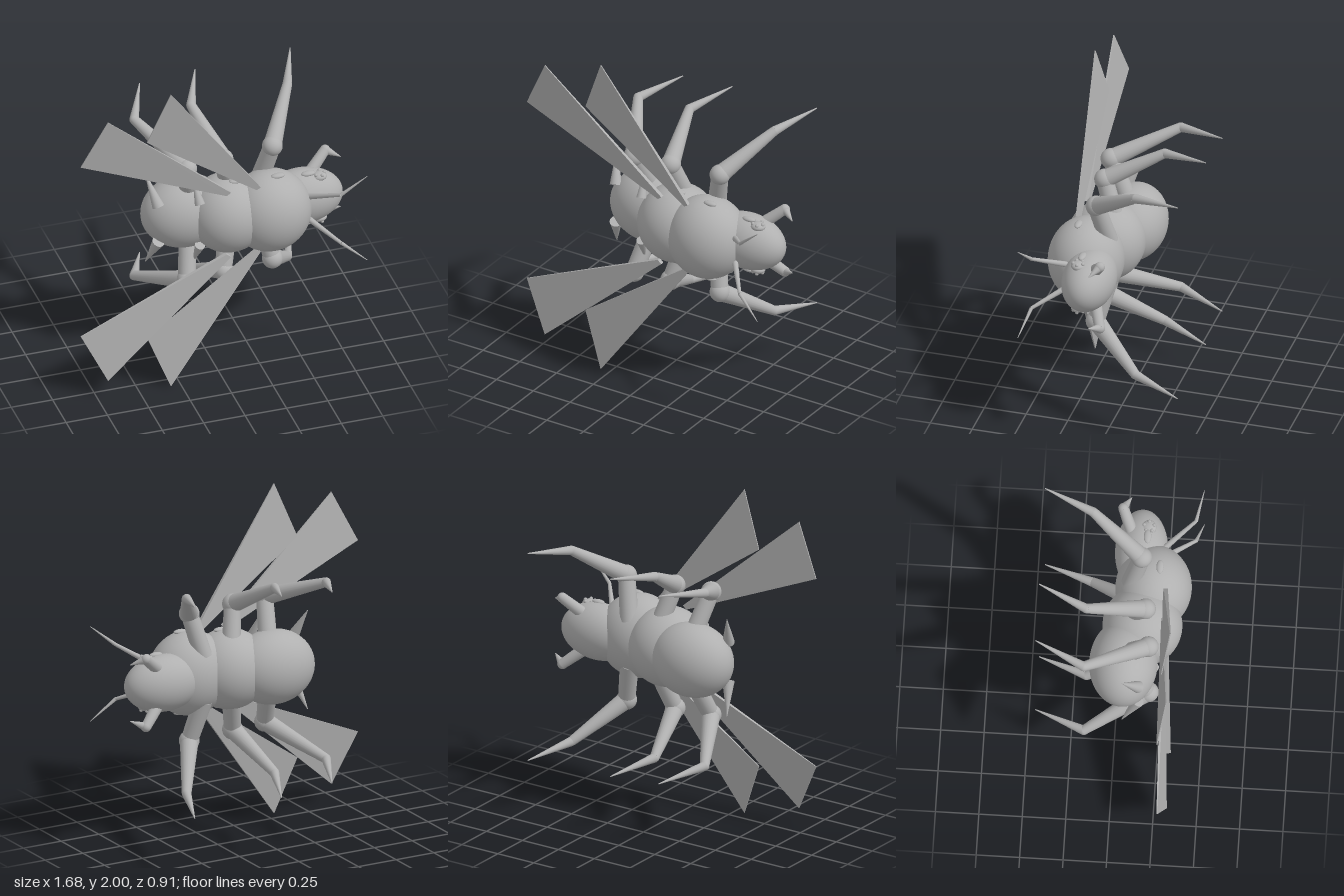
import * as THREE from 'three';
import { ConvexGeometry } from 'three/addons/geometries/ConvexGeometry.js';

const shell = new THREE.MeshStandardMaterial({ color: 0xb0b0b0 });
shell.name = 'greyShell';

export function createModel() {
  const model = new THREE.Group();
  model.name = 'insect';

  const add = (parent, name, geometry) => {
    const mesh = new THREE.Mesh(geometry, shell);
    mesh.name = name;
    parent.add(mesh);
    return mesh;
  };

  // Ellipsoid at a centre with three radii
  const ball = (parent, name, c, r, detail = 40) => {
    const geometry = new THREE.SphereGeometry(1, detail, Math.ceil(detail * 0.6));
    geometry.scale(...r);
    const mesh = add(parent, name, geometry);
    mesh.position.set(...c);
    return mesh;
  };

  // Tapered round limb from a to b
  const limb = (parent, name, a, b, ra, rb) => {
    const from = new THREE.Vector3(...a);
    const to = new THREE.Vector3(...b);
    const dir = to.clone().sub(from);
    const mesh = add(parent, name, new THREE.CylinderGeometry(rb, ra, dir.length(), 20));
    mesh.position.copy(from).add(to).multiplyScalar(0.5);
    mesh.quaternion.setFromUnitVectors(new THREE.Vector3(0, 1, 0), dir.normalize());
    return mesh;
  };

  // Body along x
  ball(model, 'abdomen', [-0.14, 1, 0.045], [0.256, 0.22, 0.197], 56);
  ball(model, 'midBody', [0.095, 1, 0.14], [0.235, 0.236, 0.23], 56);
  ball(model, 'thorax', [0.33, 1, 0.19], [0.245, 0.25, 0.22], 56);
  ball(model, 'head', [0.55, 1, 0.107], [0.245, 0.168, 0.152], 56);

  // Each leg: hip, knee, ankle, tip
  const legs = {
    frontLeg: [[0.31, 0.13, 0.06], [0.37, 0.385, 0.12], [0.555, 0.59, -0.17], [0.665, 0.64, -0.455]],
    middleLeg: [[0.12, 0.13, 0.07], [0.06, 0.38, 0.16], [-0.025, 0.56, -0.175], [0.09, 0.61, -0.455]],
    rearLeg: [[-0.12, 0.12, 0.06], [-0.17, 0.38, 0.19], [-0.37, 0.535, -0.17], [-0.245, 0.58, -0.455]],
  };

  // Each wing: two root corners, two tip corners
  const wings = {
    foreWing: [[0.25, 0.22, 0.265], [0.225, 0.205, 0.262], [-0.31, 1, 0.325], [-0.44, 0.67, 0.282]],
    hindWing: [[0.07, 0.22, 0.265], [0.045, 0.2, 0.262], [-0.69, 0.885, 0.325], [-0.84, 0.58, 0.28]],
  };

  for (const s of [1, -1]) {
    const half = new THREE.Group();
    half.name = s > 0 ? 'upperHalf' : 'lowerHalf';
    model.add(half);
    const p = ([x, v, z]) => [x, 1 + s * v, z];

    for (const [name, points] of Object.entries(legs)) {
      const leg = new THREE.Group();
      leg.name = name;
      half.add(leg);
      const [hip, knee, ankle, tip] = points.map(p);
      limb(leg, 'hip', hip, knee, 0.055, 0.05);
      ball(leg, 'knee', knee, [0.06, 0.06, 0.06], 24);
      limb(leg, 'upperLeg', knee, ankle, 0.054, 0.028);
      ball(leg, 'ankle', ankle, [0.028, 0.028, 0.028], 16);
      limb(leg, 'claw', ankle, tip, 0.028, 0.003);
    }

    // Wings are thin wedges, thickest at the root
    for (const [name, points] of Object.entries(wings)) {
      const corners = points.map(p).flatMap(([x, y, z], i) => {
        const t = i < 2 ? 0.012 : 0.003;
        return [new THREE.Vector3(x, y, z + t), new THREE.Vector3(x, y, z - t)];
      });
      add(half, name, new ConvexGeometry(corners));
    }

    // Antenna
    limb(half, 'antennaBase', p([0.54, 0.07, 0.23]), p([0.69, 0.165, 0.413]), 0.018, 0.01);
    limb(half, 'antennaTip', p([0.69, 0.165, 0.413]), p([0.835, 0.287, 0.452]), 0.011, 0.002);

    // Mandible
    limb(half, 'mandibleBase', p([0.62, 0.11, 0.05]), p([0.73, 0.205, -0.008]), 0.036, 0.03);
    ball(half, 'mandibleJoint', p([0.73, 0.205, -0.008]), [0.03, 0.03, 0.03], 20);
    limb(half, 'mandibleTip', p([0.73, 0.205, -0.008]), p([0.81, 0.17, 0.037]), 0.028, 0.002);

    // Eye with a ring of small beads
    ball(half, 'eye', p([0.645, 0.14, 0.145]), [0.045, 0.025, 0.042], 24);
    for (let i = 0; i < 5; i++) {
      const a = (i / 5) * Math.PI * 2;
      ball(half, 'eyeBead', p([0.645 + 0.03 * Math.cos(a), 0.157, 0.145 + 0.03 * Math.sin(a)]), [0.011, 0.011, 0.011], 10);
    }

    // Oval side plates
    for (const c of [[0.58, 0.165, 0.14], [0.37, 0.245, 0.225], [0.13, 0.23, 0.18]]) {
      ball(half, 'sidePlate', p(c), [0.042, 0.014, 0.022], 20);
    }

    // Abdomen thorns
    limb(half, 'rearThorn', p([-0.325, 0.12, 0.14]), p([-0.375, 0.3, 0.05]), 0.036, 0.002);
    limb(half, 'sideThorn', p([-0.1, 0.14, 0.22]), p([-0.12, 0.29, 0.15]), 0.03, 0.002);
  }
  return model;
}
